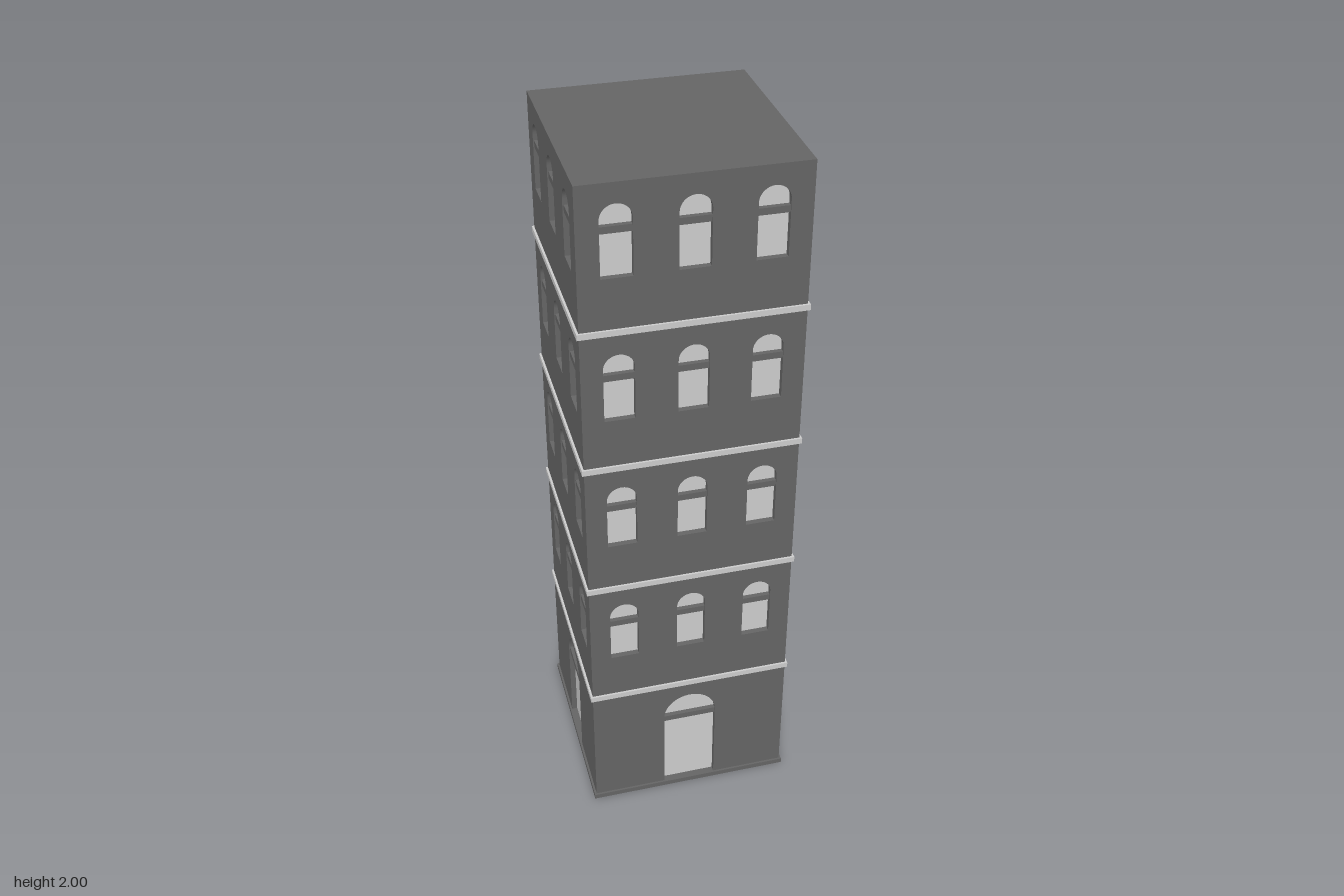
import * as THREE from 'three';

const HALF = 0.287;     // half width of the tower
const WALL = 0.02;      // wall thickness
const HEIGHT = 2;
const FLOOR = 0.4;
const BASE = 0.015;     // plinth height

const stone = new THREE.MeshStandardMaterial({ color: 0x646464 });
const pale = new THREE.MeshStandardMaterial({ color: 0xcccccc });

// Every opening on one side: a door, then four floors of three windows
const openings = [{ name: 'door', x: 0, bottom: BASE, top: 0.358, r: 0.077, bar: 0.274 }];
for (let floor = 1; floor < 5; floor++) {
  for (const x of [-0.19, 0, 0.19]) {
    const y = floor * FLOOR;
    openings.push({ name: 'window', x, bottom: y + 0.157, top: y + 0.347, r: 0.04, bar: y + 0.281 });
  }
}

// Round-headed outline of an opening
function archPath({ x, bottom, top, r }, PathType) {
  const p = new PathType();
  p.moveTo(x - r, bottom);
  p.lineTo(x + r, bottom);
  p.lineTo(x + r, top - r);
  p.absarc(x, top - r, r, 0, Math.PI, false);
  p.closePath();
  return p;
}

function rectShape(x0, y0, x1, y1, PathType = THREE.Shape) {
  const p = new PathType();
  p.moveTo(x0, y0);
  p.lineTo(x1, y0);
  p.lineTo(x1, y1);
  p.lineTo(x0, y1);
  p.closePath();
  return p;
}

function extrude(shape, depth) {
  return new THREE.ExtrudeGeometry(shape, { depth, bevelEnabled: false, curveSegments: 16 });
}

function add(parent, name, geometry, material, x = 0, y = 0, z = 0) {
  const mesh = new THREE.Mesh(geometry, material);
  mesh.name = name;
  mesh.position.set(x, y, z);
  parent.add(mesh);
  return mesh;
}

// One side of the tower facing +z
function createSide(halfWidth) {
  const side = new THREE.Group();
  const shape = rectShape(-halfWidth, 0, halfWidth, HEIGHT - WALL);
  for (const o of openings) shape.holes.push(archPath(o, THREE.Path));
  add(side, 'wall', extrude(shape, WALL), stone, 0, 0, HALF - WALL);

  for (const o of openings) {
    // recessed pane filling the arch, crossed by a transom bar
    add(side, o.name + 'Pane', extrude(archPath(o, THREE.Shape), 0.004), pale, 0, 0, HALF - WALL);
    add(side, o.name + 'Transom', new THREE.BoxGeometry(o.r * 2, 0.018, 0.014), stone, o.x, o.bar, HALF - 0.01);
  }
  return side;
}

export function createModel() {
  const tower = new THREE.Group();
  tower.name = 'tower';

  // Four alike sides; the left and right ones fit between front and back
  ['frontSide', 'leftSide', 'backSide', 'rightSide'].forEach((name, i) => {
    const side = createSide(i % 2 ? HALF - WALL : HALF);
    side.name = name;
    side.rotation.y = i * Math.PI / 2;
    tower.add(side);
  });

  // Flat roof
  add(tower, 'roof', new THREE.BoxGeometry(HALF * 2, WALL, HALF * 2), stone, 0, HEIGHT - WALL / 2, 0);

  // Floor slabs that show outside as string courses
  const out = HALF + 0.006;
  for (let floor = 1; floor < 5; floor++) {
    add(tower, 'stringCourse', new THREE.BoxGeometry(out * 2, 0.016, out * 2), pale, 0, floor * FLOOR + 0.012, 0);
  }

  // Plinth ring around the open foot
  const ring = rectShape(-out, -out, out, out);
  const inner = HALF - WALL;
  ring.holes.push(rectShape(-inner, -inner, inner, inner, THREE.Path));
  add(tower, 'plinth', extrude(ring, BASE), stone).rotation.x = -Math.PI / 2;

  return tower;
}
